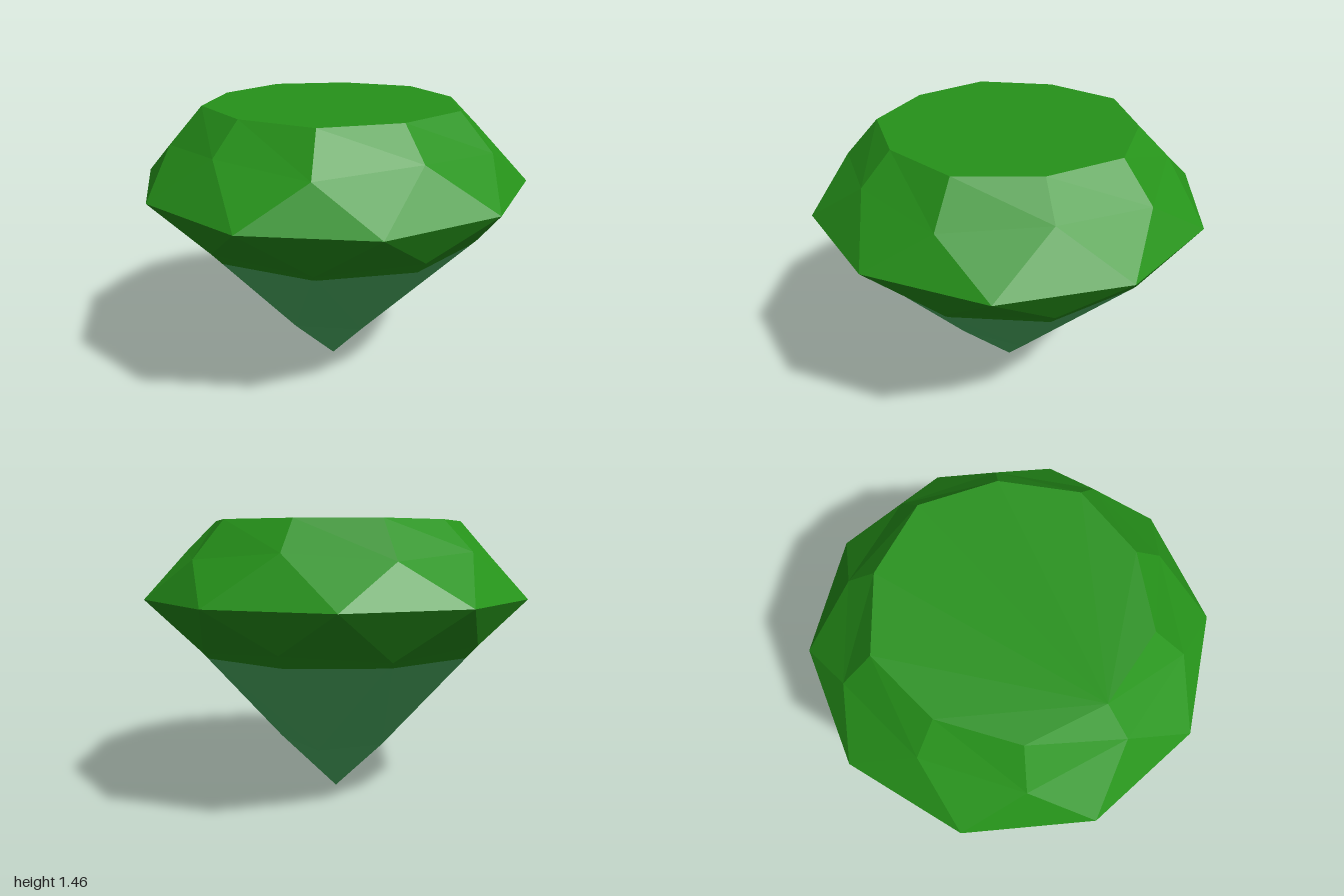
import * as THREE from 'three';

const SIDES = 10;
const CENTRE = new THREE.Vector3(0, 0.9, 0);

// Point at a given angle (degrees from +z towards +x), radius and height
function polar(deg, r, y) {
  const a = THREE.MathUtils.degToRad(deg);
  return new THREE.Vector3(Math.sin(a) * r, y, Math.cos(a) * r);
}

// Ring of ten corners whose radius and height alternate between two values
function ring(evenR, evenY, oddR, oddY) {
  return Array.from({ length: SIDES }, (_, k) =>
    k % 2 ? polar(-18 + 36 * k, oddR, oddY) : polar(-18 + 36 * k, evenR, evenY));
}

// Flat facets from convex polygons, each wound to face away from the centre
function facetMesh(name, polygons, material) {
  const pos = [];
  for (const poly of polygons) {
    for (let i = 1; i < poly.length - 1; i++) {
      const [a, b, c] = [poly[0], poly[i], poly[i + 1]];
      const n = b.clone().sub(a).cross(c.clone().sub(a));
      const outward = n.dot(a.clone().sub(CENTRE)) > 0;
      for (const v of outward ? [a, b, c] : [a, c, b]) pos.push(v.x, v.y, v.z);
    }
  }
  const geo = new THREE.BufferGeometry();
  geo.setAttribute('position', new THREE.Float32BufferAttribute(pos, 3));
  geo.computeVertexNormals();
  const mesh = new THREE.Mesh(geo, material);
  mesh.name = name;
  return mesh;
}

// Point where the edge a-b crosses a height
function cut(a, b, y) {
  return a.clone().lerp(b, (y - a.y) / (b.y - a.y));
}

export function createModel() {
  const green = new THREE.MeshStandardMaterial({ color: 0x26931a, flatShading: true });
  green.name = 'leaf green';
  const pale = new THREE.MeshStandardMaterial({ color: 0x51bc6b, flatShading: true });
  pale.name = 'pale sea green';

  const table = ring(0.635, 1.46, 0.662, 1.46);
  const crownMid = ring(0.79, 1.307, 0.83, 1.272);
  const girdle = Array.from({ length: SIDES }, (_, k) => polar(36 * k, 1, 1.071));
  const lowerMid = ring(0.83, 0.866, 0.79, 0.828);
  const inner = Array.from({ length: 5 }, (_, i) => polar(-18 + 72 * i, 0.3, 0.289));
  const tip = new THREE.Vector3(0, 0, 0);
  const split = 0.8; // height where the colour changes

  const crown = [], belt = [], band = [], pavilion = [], point = [];
  for (let k = 0; k < SIDES; k++) {
    const n = (k + 1) % SIDES;
    // Crown: main facet below each table edge, then the girdle triangles
    crown.push([table[k], table[n], crownMid[n], crownMid[k]]);
    crown.push([crownMid[k], crownMid[n], girdle[k]]);
    crown.push([crownMid[n], girdle[k], girdle[n]]);
    // Facets under the girdle
    belt.push([lowerMid[k], lowerMid[n], girdle[k]]);
    belt.push([lowerMid[n], girdle[k], girdle[n]]);
    // Long facets running down to the inner pentagon
    const even = k % 2 ? n : k, odd = k % 2 ? k : n;
    const e = lowerMid[even], o = lowerMid[odd], p = inner[even / 2];
    const ce = cut(e, p, split), co = cut(o, p, split);
    band.push([e, o, co, ce]);
    pavilion.push([ce, co, p]);
  }
  for (let i = 0; i < 5; i++) {
    // Facet from each odd corner to one pentagon edge, then the tip
    const o = lowerMid[2 * i + 1], a = inner[i], b = inner[(i + 1) % 5];
    const ca = cut(o, a, split), cb = cut(o, b, split);
    band.push([o, ca, cb]);
    pavilion.push([ca, cb, b, a]);
    point.push([a, b, tip]);
  }

  const gem = new THREE.Group();
  gem.name = 'gem';
  gem.add(
    facetMesh('table', [table], green),
    facetMesh('crown', crown, green),
    facetMesh('girdleFacets', belt, green),
    facetMesh('upperPavilion', band, green),
    facetMesh('lowerPavilion', pavilion, pale),
    facetMesh('tip', point, pale),
  );
  return gem;
}
